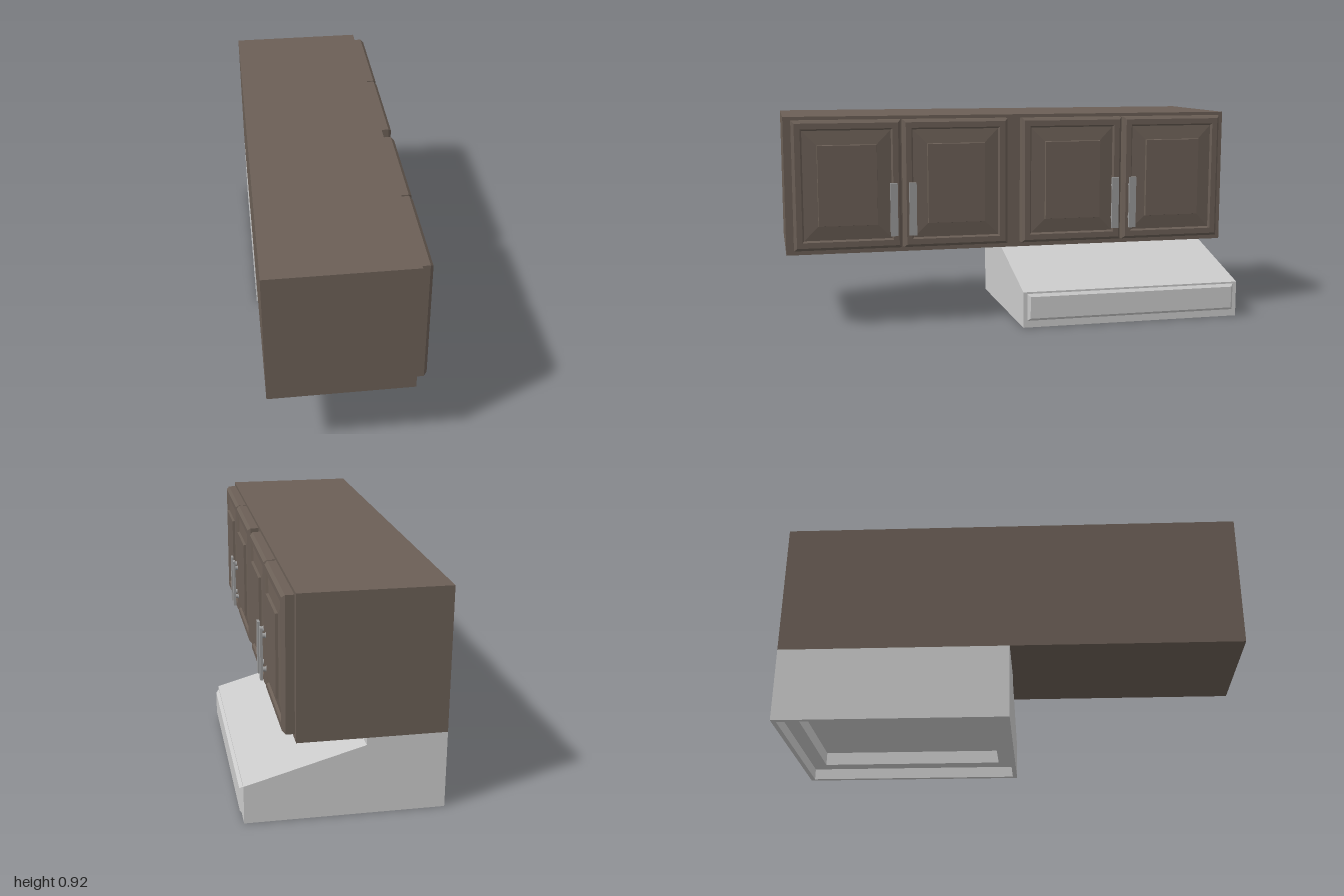
import * as THREE from 'three';

const wood = new THREE.MeshStandardMaterial({ color: 0x6b5f56 });
const grey = new THREE.MeshStandardMaterial({ color: 0xcccccc });
const metal = new THREE.MeshStandardMaterial({ color: 0x999999 });

function add(parent, name, geometry, material, x = 0, y = 0, z = 0) {
  const mesh = new THREE.Mesh(geometry, material);
  mesh.name = name;
  mesh.position.set(x, y, z);
  parent.add(mesh);
  return mesh;
}

// Nested rectangles joined into a moulded panel; steps are [inset, height], facing +x
function mouldedPanel(width, height, steps) {
  const pos = [];
  const ring = ([inset, h]) => {
    const a = width / 2 - inset, b = height / 2 - inset;
    return [[-a, -b, h], [a, -b, h], [a, b, h], [-a, b, h]];
  };
  const quad = (a, b, c, d) => pos.push(...a, ...b, ...c, ...a, ...c, ...d);
  for (let i = 0; i + 1 < steps.length; i++) {
    const o = ring(steps[i]), n = ring(steps[i + 1]);
    for (let k = 0; k < 4; k++) quad(o[k], o[(k + 1) % 4], n[(k + 1) % 4], n[k]);
  }
  quad(...ring(steps[steps.length - 1]));
  const g = new THREE.BufferGeometry();
  g.setAttribute('position', new THREE.Float32BufferAttribute(pos, 3));
  g.computeVertexNormals();
  return g.rotateY(Math.PI / 2);
}

// Horizontal rectangular frame with a rectangular opening
function frame(width, depth, inset, height) {
  const rect = (T, a, b) => new T([[-a, -b], [a, -b], [a, b], [-a, b]].map(p => new THREE.Vector2(...p)));
  const shape = rect(THREE.Shape, width / 2, depth / 2);
  shape.holes.push(rect(THREE.Path, width / 2 - inset, depth / 2 - inset));
  return new THREE.ExtrudeGeometry(shape, { depth: height, bevelEnabled: false }).rotateX(-Math.PI / 2);
}

// Flat bar pull on two round posts
function createHandle() {
  const handle = new THREE.Group();
  handle.name = 'handle';
  add(handle, 'handleBar', new THREE.BoxGeometry(0.011, 0.23, 0.032), metal, 0.26, 0.52);
  for (const y of [0.45, 0.598]) {
    const post = new THREE.CylinderGeometry(0.010, 0.010, 0.022, 16).rotateZ(Math.PI / 2);
    add(handle, 'handlePost', post, metal, 0.246, y);
    const collar = new THREE.CylinderGeometry(0.010, 0.013, 0.006, 16).rotateZ(-Math.PI / 2);
    add(handle, 'handleCollar', collar, metal, 0.241, y);
  }
  return handle;
}

// Wall cabinet, one metre-wide box with a pair of raised-panel doors
function createCabinet() {
  const cabinet = new THREE.Group();
  cabinet.name = 'cabinet';
  add(cabinet, 'cabinetBox', new THREE.BoxGeometry(0.597, 0.595, 1), wood, -0.1085, 0.6225);
  const doorGeometry = mouldedPanel(0.463, 0.557, [
    [0, 0], [0, 0.037], [0.012, 0.05], [0.036, 0.05], [0.043, 0.04],
    [0.104, 0.048], [0.106, 0.059],
  ]);
  for (const side of [-1, 1]) {
    add(cabinet, 'door', doorGeometry, wood, 0.188, 0.627, side * 0.236);
    const handle = createHandle();
    handle.position.z = side * 0.041;
    cabinet.add(handle);
  }
  return cabinet;
}

// Extractor hood with sloping top, framed front and stepped open underside
function createHood() {
  const hood = new THREE.Group();
  hood.name = 'rangeHood';
  const back = -0.407, front = 0.394, low = 0.05, ceiling = 0.11;
  const profile = new THREE.Shape([
    [back, ceiling], [front, ceiling], [front, 0.158], [-0.085, 0.295], [-0.085, 0.325], [back, 0.325],
  ].map(p => new THREE.Vector2(...p)));
  const body = new THREE.ExtrudeGeometry(profile, { depth: 1, bevelEnabled: false });
  add(hood, 'hoodBody', body, grey, 0, 0, -0.5);

  const mid = (front + back) / 2, width = front - back;
  add(hood, 'hoodRim', frame(width, 1, 0.02, low), grey, mid);
  add(hood, 'hoodLedge', frame(width, 1, 0.085, ceiling - low), grey, mid, low);

  const fascia = mouldedPanel(0.965, 0.12, [[0, 0], [0.012, 0.013]]);
  add(hood, 'hoodFrontPanel', fascia, grey, front, 0.09);
  return hood;
}

export function createModel() {
  const model = new THREE.Group();
  model.name = 'kitchenWallCabinetsWithHood';
  for (const z of [-0.5, 0.5]) {
    const cabinet = createCabinet();
    cabinet.position.z = z;
    model.add(cabinet);
  }
  const hood = createHood();
  hood.position.z = -0.5;
  model.add(hood);
  return model;
}
